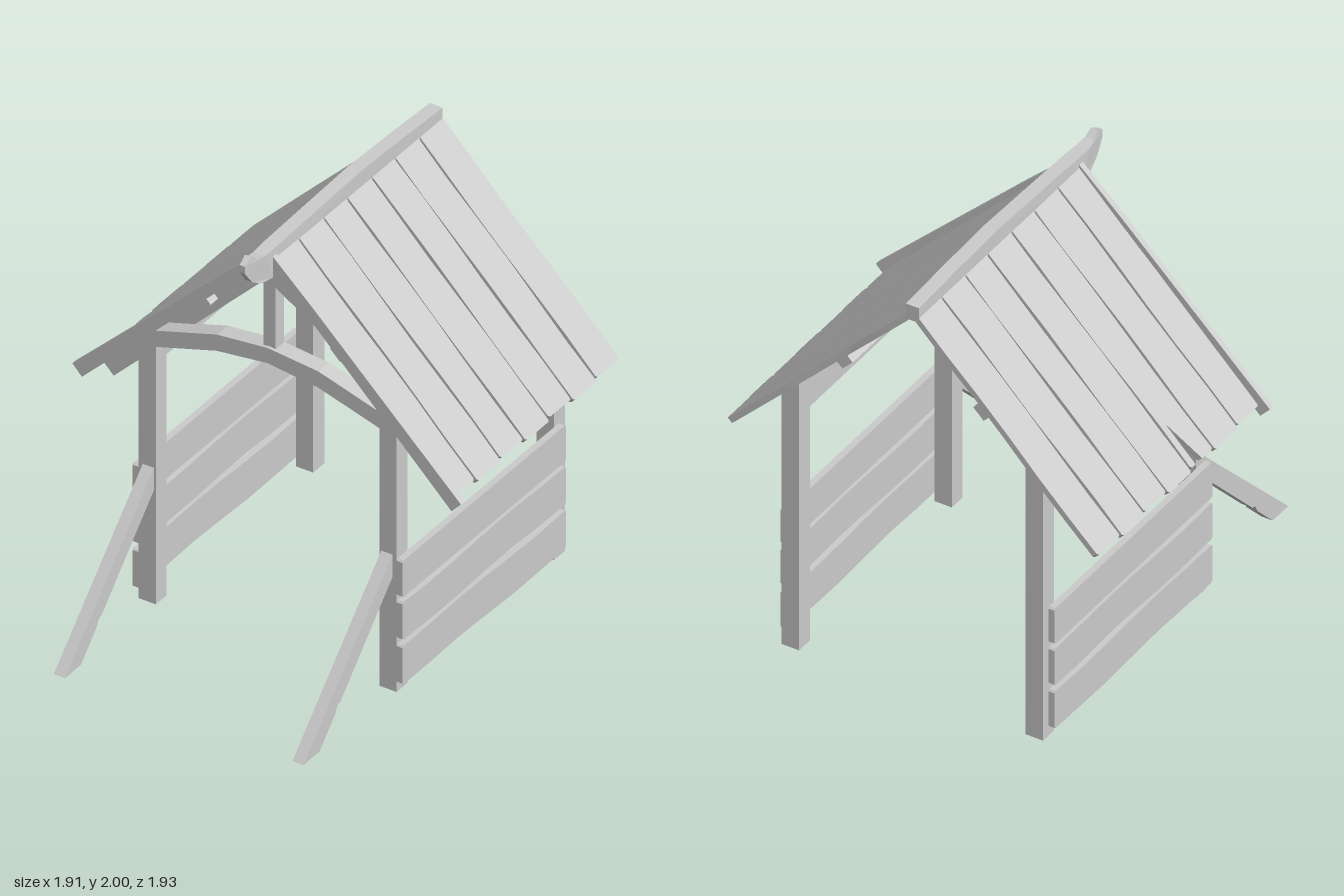
import * as THREE from 'three';

const S = Math.SQRT1_2;
const ROOF = 1.945; // height at which the two roof planes meet

export function createModel() {
  const model = new THREE.Group();
  const wood = new THREE.MeshStandardMaterial({ color: 0xcccccc, flatShading: true });

  const add = (name, geometry) => {
    const mesh = new THREE.Mesh(geometry, wood);
    mesh.name = name;
    model.add(mesh);
    return mesh;
  };
  const extrude = (pts, depth) => new THREE.ExtrudeGeometry(
    new THREE.Shape(pts.map(([a, b]) => new THREE.Vector2(a, b))), { depth, bevelEnabled: false });
  // Outline in (x, y), swept from z0 to z1
  const prismZ = (pts, z0, z1) => extrude(pts, z1 - z0).translate(0, 0, z0);
  // Outline in (z, y), swept from x0 to x1
  const prismX = (pts, x0, x1) =>
    extrude(pts.map(([z, y]) => [-z, y]), x1 - x0).rotateY(Math.PI / 2).translate(x0, 0, 0);
  // Outline in (distance down the slope, z), sunk from depth d0 to d1 below the roof plane
  const onSlope = (side, pts, d0, d1) => {
    const frame = new THREE.Matrix4().makeBasis(
      new THREE.Vector3(side * S, -S, 0),
      new THREE.Vector3(0, 0, side),
      new THREE.Vector3(-side * S, -S, 0)).setPosition(0, ROOF, 0);
    return extrude(pts.map(([u, z]) => [u, side * z]), d1 - d0).translate(0, 0, d0).applyMatrix4(frame);
  };
  const rect = (a0, a1, b0, b1) => [[a0, b0], [a1, b0], [a1, b1], [a0, b1]];

  // Plank outline with clipped corners, uneven long edges and optional extra points at its far end
  const plank = (a0, a1, b0, b1, seed, wobble, ending = []) => {
    const c = 0.008, low = [], high = [];
    for (let i = 1; i < 6; i++) {
      const a = a0 + (a1 - a0) * i / 6;
      low.push([a, b0 + wobble * Math.sin(seed * 2.3 + i * 1.4)]);
      high.unshift([a, b1 + wobble * Math.sin(seed * 1.7 + i * 1.1 + 2)]);
    }
    return [[a0, b0 + c], [a0 + c, b0], ...low, [a1 - c, b0], [a1, b0 + c], ...ending,
      [a1, b1 - c], [a1 - c, b1], ...high, [a0 + c, b1], [a0, b1 - c]];
  };

  for (const side of [1, -1]) {
    const tag = side > 0 ? 'left' : 'right';
    const span = (a, b) => side > 0 ? [a, b] : [-b, -a];

    // Posts with tops cut to the roof pitch, joined by a top plate
    const section = (bottom) => [[0.55, bottom], [0.635, bottom], [0.635, 1.27], [0.55, 1.355]]
      .map(([x, y]) => [side * x, y]);
    add(tag + 'FrontPost', prismZ(section(0), 0.22, 0.3));
    add(tag + 'BackPost', prismZ(section(0), -0.96, -0.875));
    add(tag + 'TopPlate', prismZ(section(1.19), -0.875, 0.22));

    // Low side wall of three planks
    [[0.045, 0.235], [0.265, 0.45], [0.475, 0.655]].forEach(([y0, y1], i) =>
      add(tag + 'WallPlank', prismX(plank(-0.92, 0.3, y0, y1, i + 1, i < 2 ? 0.007 : 0), ...span(0.635, 0.665))));

    // Slanted brace in front, with a small nick in the lower edge
    add(tag + 'Brace', prismX([[0.3, 0.67], [0.965, 0], [0.845, 0], [0.73, 0.118],
      [0.71, 0.155], [0.69, 0.16], [0.3, 0.56]], ...span(0.56, 0.615)));

    // Roof planks, one of them split at the eave
    const edges = [[-0.96, -0.79], [-0.78, -0.608], [-0.598, -0.435], [-0.425, -0.25],
      [-0.24, -0.075], [-0.065, 0.11], [0.12, 0.282]];
    edges.forEach(([z0, z1], i) => {
      const split = side < 0 && i === 4;
      const end = 1.275 + (i % 2) * 0.012;
      const ending = split ? [[end, -0.205], [end - 0.21, -0.205], [end, -0.155]] : [];
      add(tag + 'RoofPlank', onSlope(side, plank(0.03, end, z0, z1, i + 2, 0.004, ending), 0, 0.028));
    });

    // Rafters and a purlin under the planks
    for (const z of [0.195, -0.34])
      add(tag + 'Rafter', onSlope(side, rect(0.1, 1.244, z - 0.03, z + 0.03), 0.028, 0.1025));
    add(tag + 'Purlin', onSlope(side, rect(0.48, 0.55, -0.955, 0.28), 0.028, 0.065));
  }

  // Gable boards meeting at the peak
  const half = (pts) => [...pts, ...pts.slice().reverse().map(([x, y]) => [-x, y])];
  const gable = half([[0.03, 1.79], [0.24, 1.66], [0.91, 0.995], [0.957, 1.045], [0.23, 1.745], [0.02, 1.94]]);
  add('gableBoards', prismZ(gable, 0.28, 0.307));

  // Arched tie beam and king post
  add('archBeam', prismZ([[-0.55, 1.27], [-0.25, 1.36], [0, 1.39], [0.25, 1.36], [0.55, 1.27],
    [0.55, 1.35], [0.25, 1.44], [0, 1.465], [-0.25, 1.44], [-0.55, 1.35]], 0.22, 0.3));
  add('kingPost', prismZ(rect(-0.03, 0.03, 1.46, 1.83), 0.225, 0.285));

  // Ridge beam ending in an upturned horn that narrows to the tip
  const ridge = prismX([[-0.96, 1.89], [0.25, 1.87], [0.31, 1.83], [0.38, 1.838], [0.44, 1.872],
    [0.49, 1.94], [0.49, 1.975], [0.445, 2], [0.41, 1.975], [0.36, 1.963], [0.3, 1.967],
    [0, 1.978], [-0.35, 1.99], [-0.65, 1.98], [-0.96, 1.965]], -0.032, 0.032);
  const p = ridge.attributes.position;
  for (let i = 0; i < p.count; i++)
    p.setX(i, p.getX(i) * (1 - 0.6 * THREE.MathUtils.smoothstep(p.getZ(i), 0.32, 0.49)));
  ridge.computeVertexNormals();
  add('ridgeBeam', ridge);

  return model;
}
